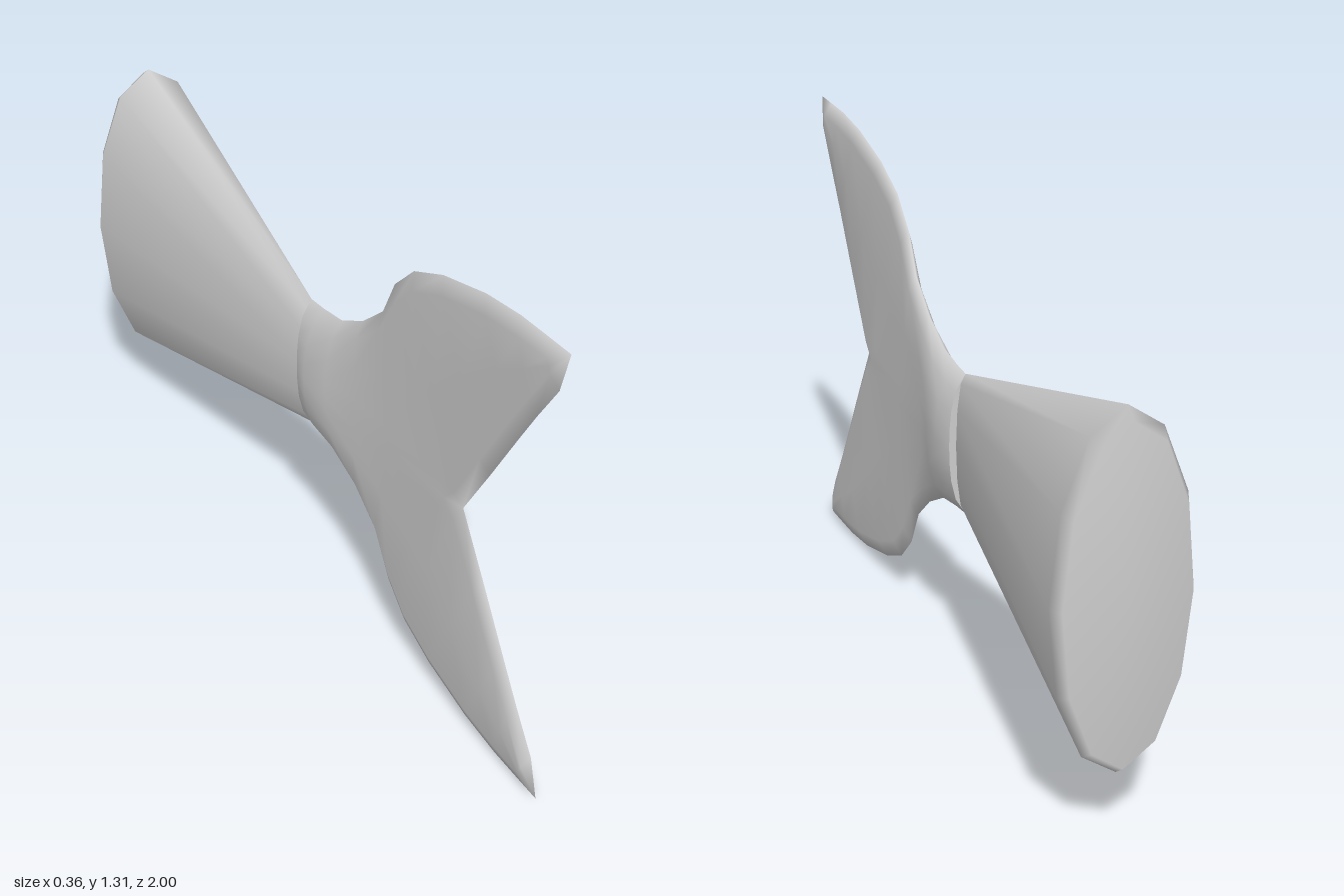
import * as THREE from 'three';
import { mergeVertices } from 'three/addons/utils/BufferGeometryUtils.js';

const MID = 0.665; // height of the long axis
const material = new THREE.MeshStandardMaterial({ color: 0xcccccc });

// Skins a grid of points, rows[i][j] = [x, y, z], with smooth normals.
// Each [sx, sy] copy mirrors it across x = 0 and y = MID.
function skin(name, rows, copies = [[1, 1]]) {
  const pos = [];
  for (const [sx, sy] of copies) {
    const put = (...pts) => {
      if (sx * sy < 0) pts.reverse();
      for (const [x, y, z] of pts) pos.push(sx * x, MID + sy * y, z);
    };
    for (let i = 0; i < rows.length - 1; i++) {
      for (let j = 0; j < rows[i].length - 1; j++) {
        const a = rows[i][j], b = rows[i + 1][j], c = rows[i][j + 1], d = rows[i + 1][j + 1];
        put(a, b, c);
        put(b, d, c);
      }
    }
  }
  let geo = new THREE.BufferGeometry();
  geo.setAttribute('position', new THREE.Float32BufferAttribute(pos, 3));
  geo = mergeVertices(geo, 1e-4);
  geo.computeVertexNormals();
  const mesh = new THREE.Mesh(geo, material);
  mesh.name = name;
  return mesh;
}

// Tail stem: twelve-sided oval rings [z, half width, half height]
function makeStem() {
  const rings = [[-0.07, 0.026, 0.195], [-0.965, 0.178, 0.455], [-1, 0.16, 0.428], [-1, 0, 0]];
  const rows = rings.map(([z, w, h]) => {
    const row = [];
    for (let k = 0; k <= 12; k++) {
      const a = (k / 12) * Math.PI * 2;
      row.push([w * Math.cos(a), h * Math.sin(a), z]);
    }
    return row;
  });
  return skin('tailStem', rows);
}

// Upper half of the fin: [outer z, outer y, inner z, inner y, half thickness]
const STATIONS = [
  [-0.07, 0.86, -0.07, MID, 0.045],
  [-0.01, 0.865, -0.01, MID, 0.06],
  [0.08, 0.88, 0.08, MID, 0.05],
  [0.18, 0.935, 0.18, MID, 0.028],
  [0.27, 1.015, 0.34, MID, 0.021],
  [0.32, 1.12, 0.58, MID, 0.017],
  [0.4, 1.2, 0.64, MID, 0.017], // the notch
  [0.52, 1.255, 0.74, 0.83, 0.017],
  [0.69, 1.3, 0.84, 1.0, 0.017],
  [0.82, 1.317, 0.9, 1.1, 0.017],
  [0.92, 1.32, 0.97, 1.21, 0.016],
  [1, 1.322, 1, 1.322, 0], // the tip
];
const NOTCH = 6;

// One row across the fin: edge, bevel, flat, bevel, inner edge or centre line
function finRow([oz, oy, iz, iy, w], i) {
  const len = Math.hypot(iz - oz, iy - oy);
  const bevel = len > 0 ? Math.min(0.045 / len, 0.35) : 0;
  const plate = Math.min(w, 0.017);
  const bulge = w - plate;
  const steps = [
    [0, 0],
    [bevel, plate + bulge * 0.35],
    [0.5, plate + bulge * 0.8],
    [1 - bevel, plate + bulge * 0.97],
    [1, i < NOTCH ? w : 0],
  ];
  return steps.map(([t, x]) => [x, oy + (iy - oy) * t - MID, oz + (iz - oz) * t]);
}

function makeFin() {
  const fin = new THREE.Group();
  fin.name = 'tailFin';
  const quarters = [[1, 1], [-1, 1], [1, -1], [-1, -1]];
  const rows = STATIONS.map(finRow);
  fin.add(skin('finBlade', rows, quarters));
  // flat end of the collar, where the stem joins
  const spine = rows[0].map(([, y, z]) => [0, y, z]);
  fin.add(skin('collarEnd', [spine, rows[0]], quarters));
  return fin;
}

export function createModel() {
  const model = new THREE.Group();
  model.name = 'fishTail';
  model.add(makeStem(), makeFin());
  return model;
}
